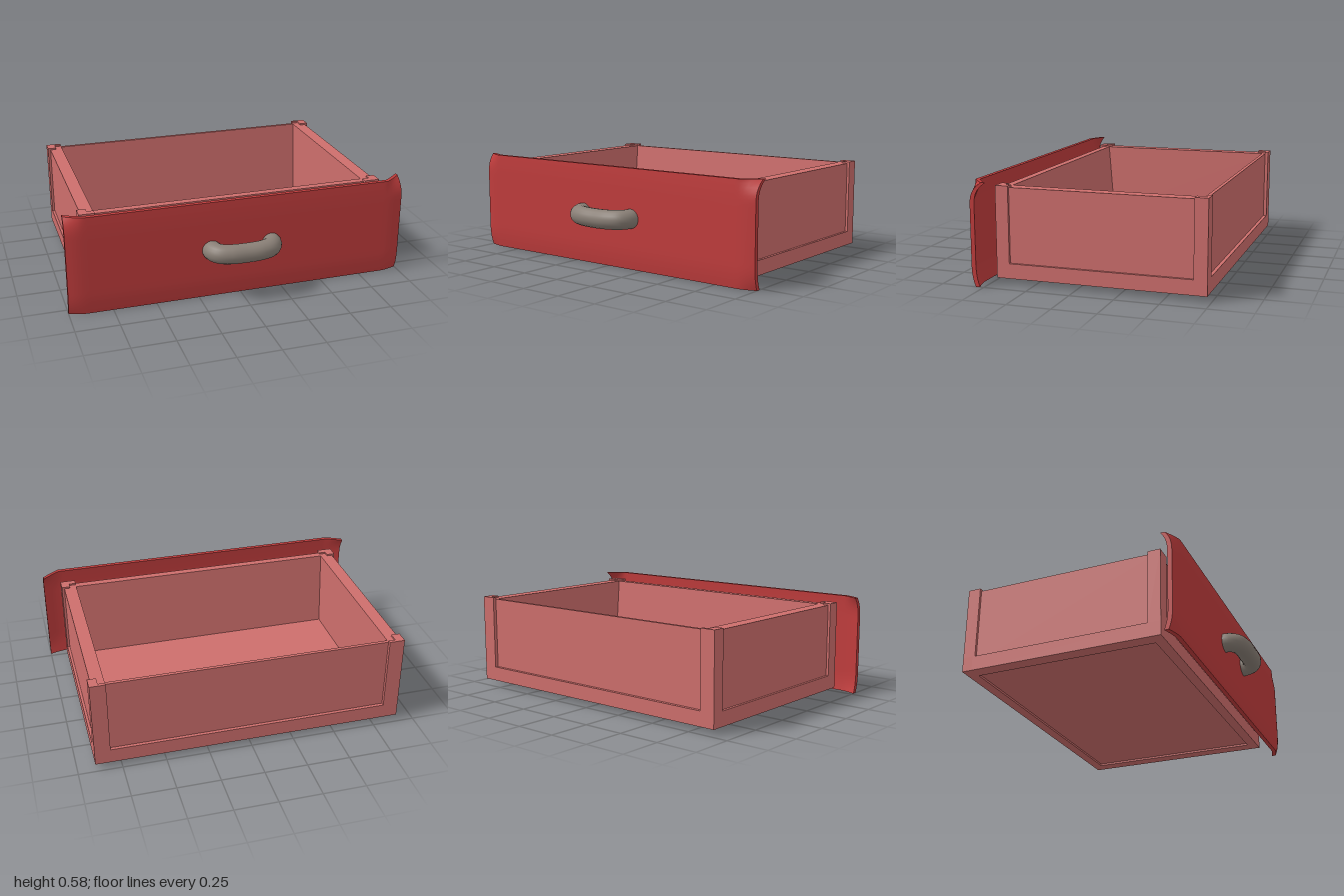
import * as THREE from 'three';

const wood = new THREE.MeshStandardMaterial({ color: 0xcd6e6c });
wood.name = 'paleRedWood';
const paint = new THREE.MeshStandardMaterial({ color: 0xbf3c3c, side: THREE.DoubleSide });
paint.name = 'redFront';
const metal = new THREE.MeshStandardMaterial({ color: 0x8a8077 });
metal.name = 'greyHandle';

// Box given by its limits on each axis
function block(name, [x0, x1], [y0, y1], [z0, z1]) {
  const mesh = new THREE.Mesh(new THREE.BoxGeometry(x1 - x0, y1 - y0, z1 - z0), wood);
  mesh.position.set((x0 + x1) / 2, (y0 + y1) / 2, (z0 + z1) / 2);
  mesh.name = name;
  return mesh;
}

// (z, y) profile extruded across the drawer's inner width
function endWall(name, profile) {
  const shape = new THREE.Shape(profile.map(([z, y]) => new THREE.Vector2(-z, y)));
  const geo = new THREE.ExtrudeGeometry(shape, { depth: 1.62, bevelEnabled: false });
  geo.rotateY(Math.PI / 2);
  geo.translate(-0.81, 0, 0);
  const mesh = new THREE.Mesh(geo, wood);
  mesh.name = name;
  return mesh;
}

function drawerBox() {
  const box = new THREE.Group();
  box.name = 'drawerBox';
  const back = -0.73, front = 0.465, low = 0.035, rail = 0.12, rim = 0.545, top = 0.555;

  // Floor, set slightly up inside the bottom rails
  box.add(block('floor', [-0.87, 0.87], [0.047, 0.08], [-0.71, 0.44]));

  // Inner walls; the end walls lean towards the floor
  box.add(endWall('backWall', [[-0.71, 0.06], [-0.65, 0.06], [-0.69, rim], [-0.71, rim]]));
  box.add(endWall('frontWall', [[0.445, 0.06], [0.445, rim], [0.4, rim], [0.36, 0.06]]));

  // Bottom rails on the ends
  box.add(block('backRail', [-0.9, 0.9], [low, rail], [back, -0.67]));
  box.add(block('frontRail', [-0.9, 0.9], [low, rail], [0.405, front]));

  for (const s of [-1, 1]) {
    const span = (a, b) => (s > 0 ? [a, b] : [-b, -a]);
    box.add(block('sideWall', span(0.81, 0.885), [0.06, rim], [-0.71, 0.445]));
    box.add(block('sideRail', span(0.82, 0.9), [low, rail], [-0.67, 0.405]));

    // L-shaped corner posts
    box.add(block('backPostSide', span(0.85, 0.9), [rail, top], [back, -0.655]));
    box.add(block('backPostEnd', span(0.81, 0.85), [rail, top], [back, -0.71]));
    box.add(block('frontPostSide', span(0.85, 0.9), [rail, top], [0.39, front]));
    box.add(block('frontPostEnd', span(0.81, 0.85), [rail, top], [0.425, front]));
  }
  return box;
}

// Thin front plate whose edges bend back and whose upper corners flare
function frontPlate() {
  const h = 0.583;
  const geo = new THREE.BoxGeometry(2, h, 0.026, 80, 28, 1);
  const p = geo.attributes.position;
  const ramp = (v, a, b) => THREE.MathUtils.clamp((v - a) / (b - a), 0, 1);
  for (let i = 0; i < p.count; i++) {
    const x = p.getX(i), y = p.getY(i);
    const side = ramp(Math.abs(x), 0.9, 1);
    const edge = ramp(Math.abs(y), 0.16, h / 2);
    const corner = side * edge ** 3;
    const flare = y < 0 ? 0.012 : x > 0 ? 0.065 : 0.035;
    const bend = 0.014 * side ** 2 + 0.008 * edge ** 2 * (y < 0 ? 1.3 : 0.5);
    p.setZ(i, p.getZ(i) - bend - flare * corner);
  }
  geo.computeVertexNormals();
  geo.translate(0, h / 2 + 0.002, 0.57);
  const mesh = new THREE.Mesh(geo, paint);
  mesh.name = 'frontPlate';
  return mesh;
}

// Rounded pull handle, its middle sagging a little
function handle() {
  const half = [[0.178, 0.298, 0.566], [0.176, 0.298, 0.605], [0.15, 0.297, 0.645], [0.09, 0.295, 0.665]];
  const points = [
    ...half.map(([x, y, z]) => new THREE.Vector3(-x, y, z)),
    new THREE.Vector3(0, 0.293, 0.668),
    ...half.slice().reverse().map((c) => new THREE.Vector3(...c)),
  ];
  const mesh = new THREE.Mesh(
    new THREE.TubeGeometry(new THREE.CatmullRomCurve3(points), 48, 0.056, 18), metal);
  mesh.name = 'handle';
  return mesh;
}

export function createModel() {
  const model = new THREE.Group();
  model.name = 'drawer';
  model.add(drawerBox(), frontPlate(), handle());
  return model;
}
